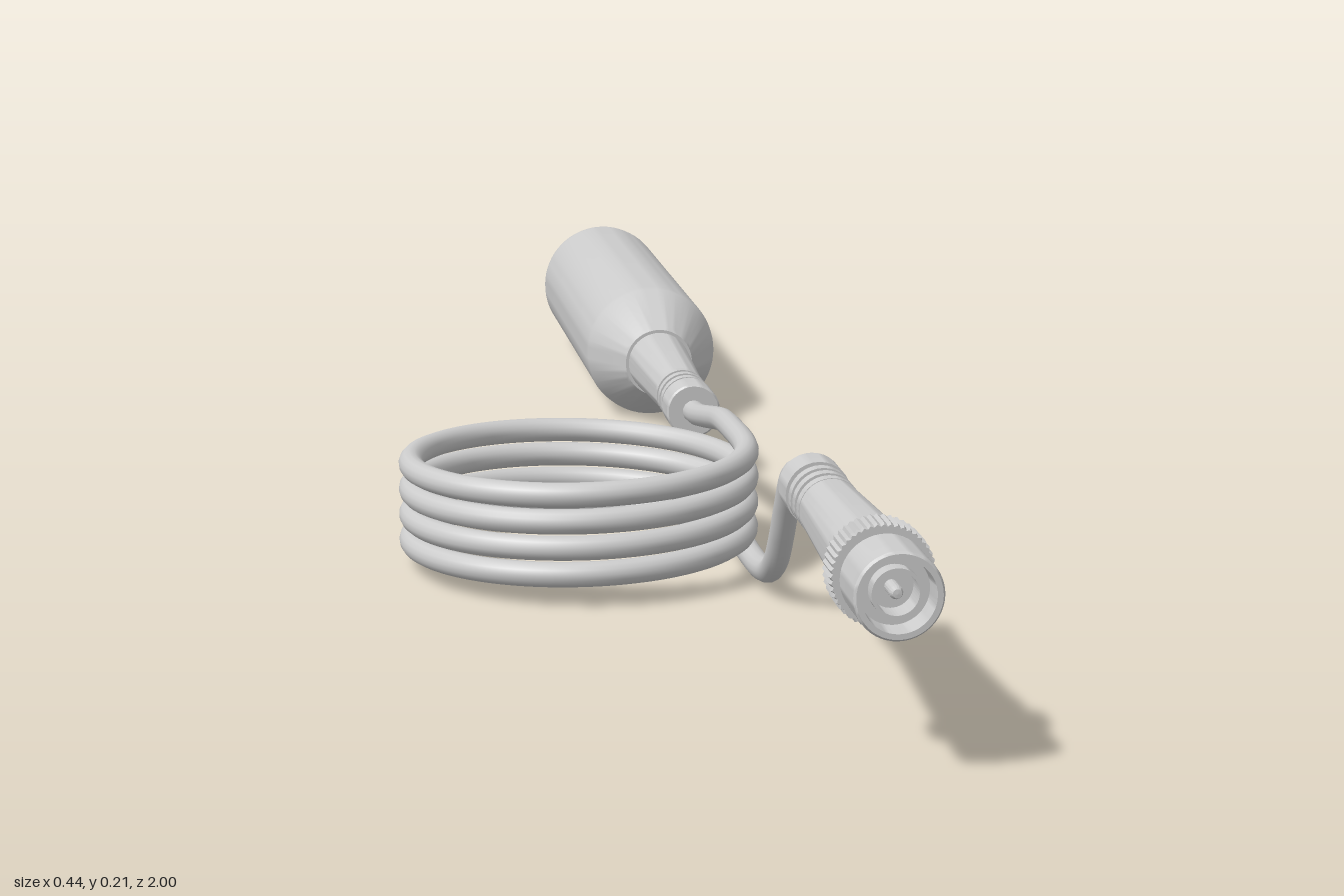
import * as THREE from 'three';
import { toCreasedNormals } from 'three/addons/utils/BufferGeometryUtils.js';

const AXIS_X = 0.14;   // all in-line parts share this x
const BODY_Y = 0.082;  // height of the large housing
const PLUG_Y = 0.168;  // height of the plug

export function createModel() {
  const root = new THREE.Group();
  const mat = new THREE.MeshStandardMaterial({ color: 0xcccccc });

  function add(name, geometry, y = 0, x = AXIS_X) {
    const mesh = new THREE.Mesh(geometry, mat);
    mesh.name = name;
    mesh.position.set(x, y, 0);
    root.add(mesh);
    return mesh;
  }

  // Solid of revolution along z; profile is [radius, z] with z running forward on the outside
  function turned(name, y, profile, sides = 48) {
    const pts = profile.map(([r, z]) => new THREE.Vector2(r, z));
    const geo = new THREE.LatheGeometry(pts, sides).rotateX(Math.PI / 2);
    return add(name, toCreasedNormals(geo, 0.45), y);
  }

  // Ribbed strain relief: a collar at the cable end, then ribs; dir points away from the cable
  function strainRelief(name, y, z0, dir) {
    const outer = 0.031, inner = 0.025;
    const profile = [[0, 0], [outer - 0.002, 0], [outer, 0.002], [outer, 0.04]];
    for (let i = 0; i < 3; i++) {
      const z = 0.04 + i * 0.02;
      profile.push([inner, z], [inner, z + 0.008], [outer - 0.001, z + 0.008], [outer - 0.001, z + 0.02]);
    }
    profile.push([0, 0.1]);
    const placed = profile.map(([r, z]) => [r, z0 + dir * z]);
    turned(name, y, dir > 0 ? placed : placed.reverse(), 32);
  }

  // Large housing with tapered ends and a recessed rear socket
  turned('housing', BODY_Y, [
    [0, -0.965], [0.027, -0.965], [0.027, -1], [0.041, -1], [0.044, -0.995],
    [0.079, -0.92], [0.08, -0.91], [0.08, -0.455], [0.079, -0.445],
    [0.044, -0.38], [0.041, -0.375], [0, -0.375],
  ], 64);
  turned('socketContact', BODY_Y, [
    [0, -0.992], [0.01, -0.99], [0.016, -0.982], [0.017, -0.975], [0.017, -0.96], [0, -0.96],
  ], 32);

  // Tapered neck between housing and cable
  turned('housingNeck', BODY_Y, [
    [0, -0.4], [0.038, -0.4], [0.037, -0.36], [0.029, -0.195], [0, -0.195],
  ]);
  strainRelief('housingStrainRelief', BODY_Y, -0.1, -1);

  // Plug: strain relief, grip, knurled ring and open barrel
  strainRelief('plugStrainRelief', PLUG_Y, 0.605, 1);
  turned('plugGrip', PLUG_Y, [
    [0, 0.695], [0.029, 0.695], [0.037, 0.88], [0.037, 0.895], [0, 0.895],
  ]);
  turned('plugBarrel', PLUG_Y, [
    [0, 0.89], [0.034, 0.89], [0.034, 0.94], [0.039, 0.94], [0.039, 0.997], [0.037, 1],
    [0.032, 1], [0.031, 0.975], [0.022, 0.975], [0.022, 0.99], [0.019, 0.99],
    [0.019, 0.965], [0, 0.965],
  ]);
  turned('plugPin', PLUG_Y, [
    [0, 0.96], [0.006, 0.96], [0.006, 0.985], [0.004, 0.99], [0, 0.991],
  ], 16);

  // Knurled ring: toothed outline, extruded along z
  const teeth = 48;
  const outline = [];
  for (let i = 0; i < teeth * 2; i++) {
    const a = (i / (teeth * 2)) * Math.PI * 2;
    const r = i % 2 ? 0.0435 : 0.0455;
    outline.push(new THREE.Vector2(r * Math.cos(a), r * Math.sin(a)));
  }
  const ring = new THREE.ExtrudeGeometry(new THREE.Shape(outline), {
    depth: 0.028, bevelEnabled: true, bevelSize: 0.001, bevelThickness: 0.004, bevelSegments: 1,
  });
  add('knurledRing', ring, PLUG_Y).position.z = 0.902;

  // Cable: drops from the plug, coils four turns upward, then runs to the housing
  const R = 0.175, centreX = AXIS_X - R, centreZ = 0.24;
  const low = 0.0145, pitch = 0.0272, turns = 4, steps = 32;
  const path = [
    [PLUG_Y, 0.64], [PLUG_Y, 0.6], [0.1675, 0.565], [0.163, 0.535], [0.149, 0.51],
    [0.118, 0.486], [0.082, 0.462], [0.05, 0.435], [0.029, 0.4], [0.018, 0.35], [0.0145, 0.29],
  ].map(([y, z]) => new THREE.Vector3(AXIS_X, y, z));
  for (let i = 0; i <= turns * steps; i++) {
    const a = (i / steps) * Math.PI * 2;
    path.push(new THREE.Vector3(
      centreX + R * Math.cos(a),
      low + pitch * (i / steps),
      centreZ - R * Math.sin(a),
    ));
  }
  for (const [y, z] of [[0.122, 0.17], [0.117, 0.1], [0.106, 0.04], [0.094, -0.02], [0.085, -0.07], [BODY_Y, -0.1], [BODY_Y, -0.13]]) {
    path.push(new THREE.Vector3(AXIS_X, y, z));
  }
  const curve = new THREE.CatmullRomCurve3(path);
  curve.arcLengthDivisions = 1500;
  add('coiledCable', new THREE.TubeGeometry(curve, 700, 0.0128, 14, false), 0, 0);

  return root;
}
